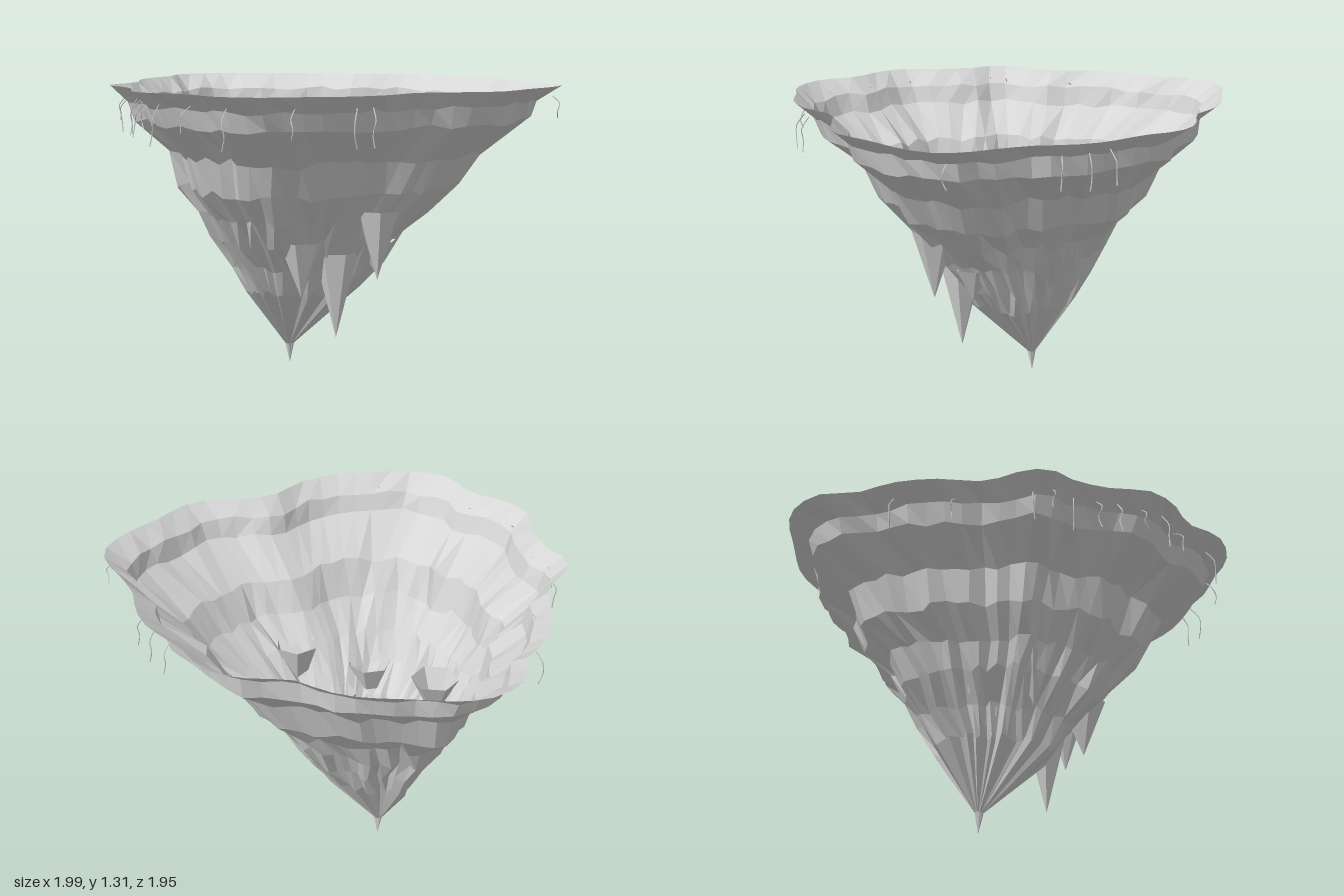
import * as THREE from 'three';

// Rim outline as x, z pairs, from the left side round the front
const RIM = [
  0.995, -0.17, 0.97, -0.04, 0.89, 0.13, 0.79, 0.35, 0.62, 0.44, 0.47, 0.52, 0.38, 0.7, 0.25, 0.82,
  0.09, 0.89, -0.02, 0.95, -0.14, 0.97, -0.28, 0.94, -0.4, 0.83, -0.56, 0.79, -0.69, 0.71, -0.76, 0.53,
  -0.85, 0.4, -0.95, 0.32, -0.96, 0.21, -0.92, 0.04, -0.98, -0.16, -0.99, -0.35, -0.95, -0.51,
  -0.97, -0.67, -0.9, -0.8, -0.8, -0.87, -0.6, -0.92, -0.37, -0.97, -0.24, -0.96, -0.13, -0.93,
  0.11, -0.98, 0.25, -0.95, 0.38, -0.84, 0.49, -0.78, 0.59, -0.71, 0.67, -0.61, 0.72, -0.51,
  0.83, -0.39, 0.95, -0.28,
];

// Terraces: height, scale of the rim, centre x, centre z, roughness
const RINGS = [
  [1.32, 1, 0, 0, 0], [1.25, 0.91, -0.01, 0, 0.01], [1.17, 0.885, -0.01, -0.01, 0.012],
  [1.02, 0.7, -0.05, -0.025, 0.02], [0.87, 0.635, -0.08, -0.03, 0.025], [0.745, 0.51, -0.11, -0.025, 0.035],
  [0.63, 0.43, -0.145, -0.04, 0.045], [0.5, 0.335, -0.15, -0.065, 0.06], [0.38, 0.26, -0.17, -0.07, 0.07],
  [0.1, 0.02, -0.25, -0.135, 0], [0.01, 0.001, -0.25, -0.14, 0],
];

// Hanging spikes: x, z, top height, tip height, radius
const SPIKES = [
  [-0.08, 0.29, 0.65, 0.4, 0.1], [0.03, 0.1, 0.58, 0.19, 0.1], [0.23, 0.15, 0.78, 0.47, 0.1],
  [0.19, -0.02, 0.62, 0.46, 0.09], [-0.43, 0.14, 0.72, 0.5, 0.11], [-0.44, -0.02, 0.62, 0.45, 0.05],
  [-0.5, -0.12, 0.7, 0.53, 0.055], [-0.27, -0.25, 0.45, 0.3, 0.035], [-0.15, -0.38, 0.7, 0.52, 0.07],
];

// Roots: x, z, length
const ROOTS = [
  [-0.98, -0.36, 0.16], [-0.93, -0.1, 0.12], [-0.92, 0.24, 0.16], [-0.9, 0.33, 0.1], [-0.82, 0.4, 0.17],
  [-0.77, 0.5, 0.15], [-0.73, 0.58, 0.15], [-0.66, 0.68, 0.11], [-0.59, 0.77, 0.17], [-0.44, 0.8, 0.11],
  [-0.23, 0.92, 0.17], [0.04, 0.89, 0.12], [0.28, 0.79, 0.16], [0.34, 0.73, 0.16], [0.98, -0.22, 0.1],
  [0.67, -0.6, 0.14], [0.48, -0.76, 0.14], [0.58, -0.69, 0.15],
];

function createRandom(seed) {
  return () => {
    seed = (seed * 16807) % 2147483647;
    return seed / 2147483647;
  };
}

export function createModel() {
  const group = new THREE.Group();
  group.name = 'floatingRock';
  const random = createRandom(731);
  const jitter = (amount) => (random() * 2 - 1) * amount;

  const stone = new THREE.MeshStandardMaterial({ color: 0xd6d6d6, flatShading: true, side: THREE.DoubleSide });
  stone.name = 'paleStone';

  const add = (name, geometry, parent = group) => {
    const mesh = new THREE.Mesh(geometry, stone);
    mesh.name = name;
    parent.add(mesh);
    return mesh;
  };

  // Open rock shell: the rim shrinks down the terraces to an off-centre tip
  const controls = [];
  for (let i = 0; i < RIM.length; i += 2) controls.push(new THREE.Vector3(RIM[i], 0, RIM[i + 1]));
  const count = 72;
  const outline = new THREE.CatmullRomCurve3(controls, true).getSpacedPoints(count).slice(0, count);
  const pleats = outline.map(() => jitter(1));
  const positions = [];
  const indices = [];
  RINGS.forEach(([y, scale, cx, cz, rough], j) => {
    outline.forEach((p, i) => {
      const s = scale * (1 + rough * (pleats[i] + jitter(0.5)));
      const twist = jitter(rough * 0.5);
      positions.push(
        cx + s * (p.x - p.z * twist),
        y + jitter(Math.min(rough, 0.02)),
        cz + s * (p.z + p.x * twist),
      );
      if (j === RINGS.length - 1) return;
      const a = j * count + i;
      const b = j * count + ((i + 1) % count);
      indices.push(a, b, a + count, b, b + count, a + count);
    });
  });
  const shell = new THREE.BufferGeometry();
  shell.setAttribute('position', new THREE.Float32BufferAttribute(positions, 3));
  shell.setIndex(indices);
  shell.computeVertexNormals();
  add('rockShell', shell);

  // Hollow six-sided spikes pointing down
  const spikes = new THREE.Group();
  spikes.name = 'hangingSpikes';
  group.add(spikes);
  SPIKES.forEach(([x, z, top, tip, radius], i) => {
    const cone = new THREE.ConeGeometry(radius, top - tip, 6, 1, true);
    cone.rotateX(Math.PI);
    cone.rotateY(i * 0.7);
    add('spike', cone, spikes).position.set(x, (top + tip) / 2, z);
  });

  // Thin wavy roots under the rim
  const roots = new THREE.Group();
  roots.name = 'roots';
  group.add(roots);
  ROOTS.forEach(([x, z, length]) => {
    const path = [0, 1, 2, 3].map((k) => new THREE.Vector3(
      x * (k ? 1 : 0.96) + jitter(0.01),
      1.27 - (length * k) / 3,
      z * (k ? 1 : 0.96) + jitter(0.01),
    ));
    add('root', new THREE.TubeGeometry(new THREE.CatmullRomCurve3(path), 8, 0.0025, 4), roots);
  });

  return group;
}
